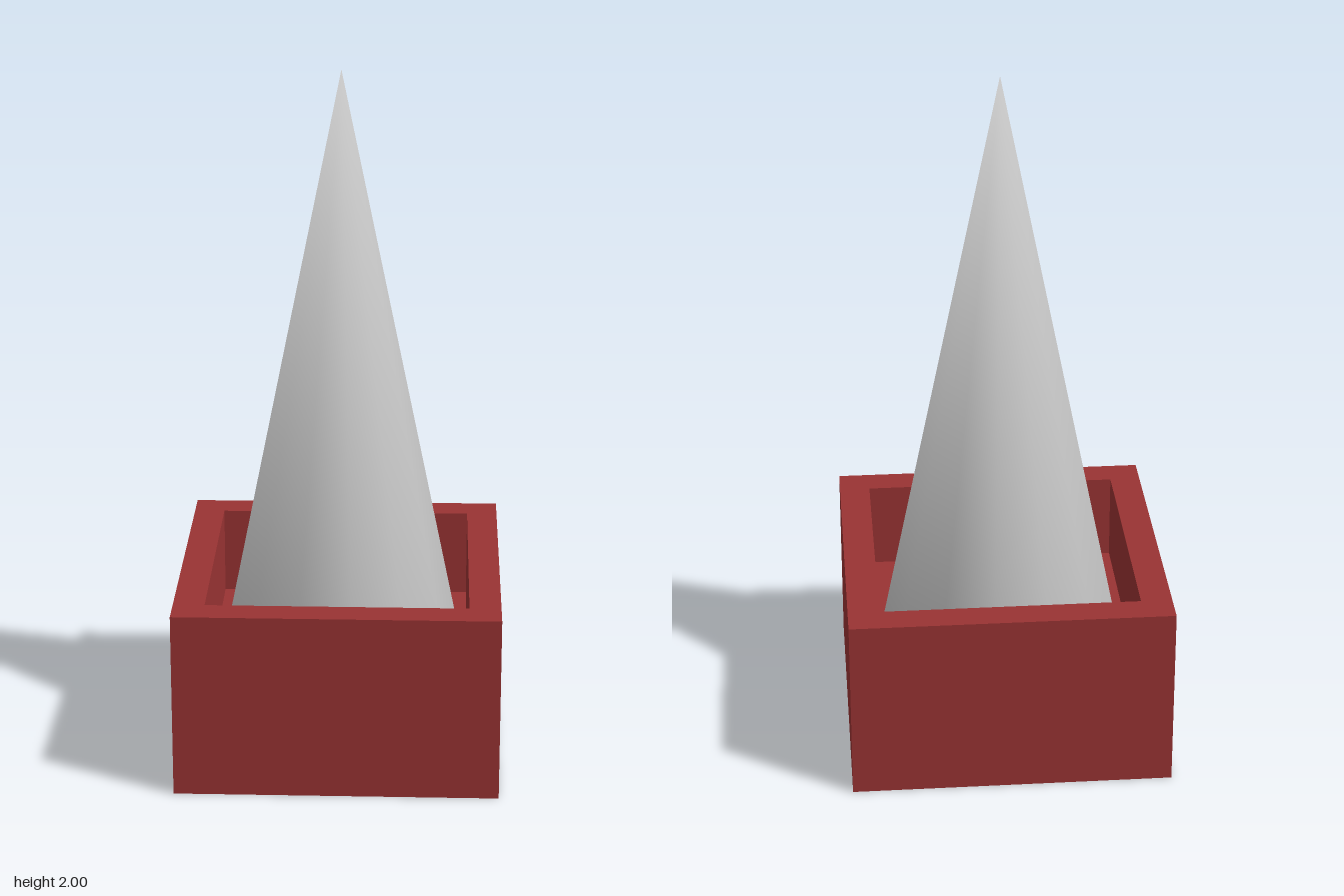
import * as THREE from 'three';
import { mergeVertices } from 'three/addons/utils/BufferGeometryUtils.js';

const OUTER = 0.463; // half width of the box
const INNER = 0.373; // half width of the opening
const RIM = 0.545;   // top of the box
const FLOOR = 0.285; // bottom of the recess, where the cone stands

function square(Type, half) {
  const shape = new Type();
  shape.moveTo(-half, -half);
  shape.lineTo(half, -half);
  shape.lineTo(half, half);
  shape.lineTo(-half, half);
  shape.closePath();
  return shape;
}

export function createModel() {
  const model = new THREE.Group();
  const red = new THREE.MeshStandardMaterial({ color: 0x993333 });
  const grey = new THREE.MeshStandardMaterial({ color: 0xcccccc });

  // Square box: outer walls with underside, and a recess sunk into the top
  const planter = new THREE.Group();
  planter.name = 'planterBox';

  const wallShape = square(THREE.Shape, OUTER);
  wallShape.holes.push(square(THREE.Path, INNER));
  const wallGeometry = new THREE.ExtrudeGeometry(wallShape, { depth: RIM - FLOOR, bevelEnabled: false });
  wallGeometry.rotateX(-Math.PI / 2);
  const walls = new THREE.Mesh(wallGeometry, red);
  walls.name = 'boxWalls';
  walls.position.y = FLOOR;

  const base = new THREE.Mesh(new THREE.BoxGeometry(OUTER * 2, FLOOR, OUTER * 2), red);
  base.name = 'boxBase';
  base.position.y = FLOOR / 2;
  planter.add(walls, base);

  // Thirteen-sided cone with a corner on +x; shared vertices give a soft tip
  const height = 2 - FLOOR;
  let coneGeometry = new THREE.ConeGeometry(0.355, height, 13);
  coneGeometry.rotateY(Math.PI / 2);
  coneGeometry.deleteAttribute('uv');
  coneGeometry.deleteAttribute('normal');
  coneGeometry = mergeVertices(coneGeometry, 1e-4);
  coneGeometry.computeVertexNormals();
  const cone = new THREE.Mesh(coneGeometry, grey);
  cone.name = 'cone';
  cone.position.y = FLOOR + height / 2;

  model.add(planter, cone);
  return model;
}
